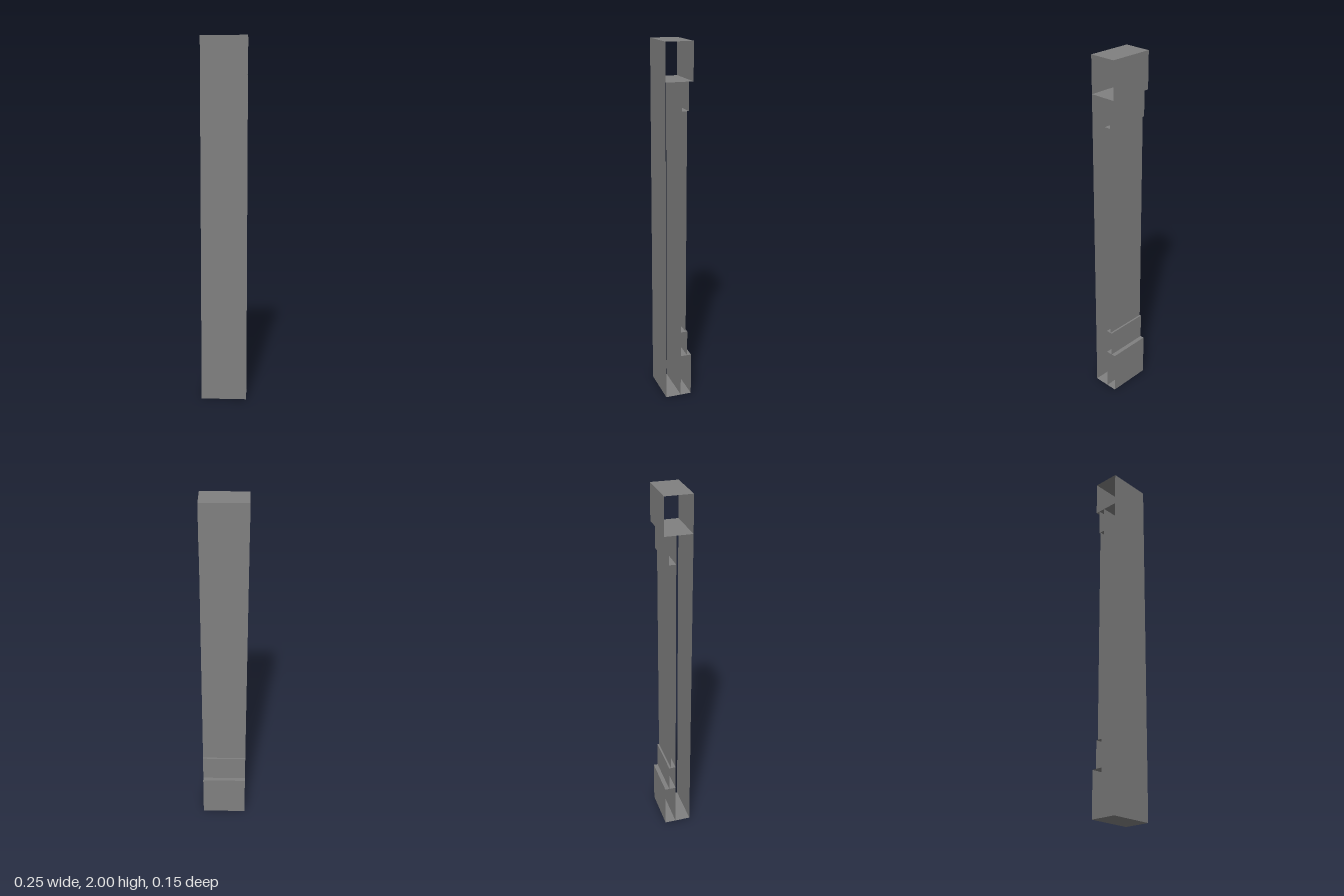
import * as THREE from 'three';

const HALF_WIDTH = 0.125;
const FRONT = 0.075, BACK = -0.075;            // overall depth
const BOARD = -0.013, SHAFT = -0.041, BAND = -0.051; // stepped back planes
const PLINTH_TOP = 0.25, LOW_BAND_TOP = 0.4, HIGH_BAND_BOTTOM = 1.65, CAP_BOTTOM = 1.8, TOP = 2;

const material = new THREE.MeshStandardMaterial({ color: 0x808080, flatShading: true, side: THREE.DoubleSide });

// Sweeps a [z, y] outline across the width, leaving both ends open.
function sweep(name, outline) {
  const positions = [];
  for (let i = 0; i < outline.length - 1; i++) {
    const [z0, y0] = outline[i], [z1, y1] = outline[i + 1];
    const a = [-HALF_WIDTH, y0, z0], b = [-HALF_WIDTH, y1, z1];
    const c = [HALF_WIDTH, y1, z1], d = [HALF_WIDTH, y0, z0];
    positions.push(...a, ...b, ...c, ...a, ...c, ...d);
  }
  const geometry = new THREE.BufferGeometry();
  geometry.setAttribute('position', new THREE.Float32BufferAttribute(positions, 3));
  geometry.computeVertexNormals();
  const mesh = new THREE.Mesh(geometry, material);
  mesh.name = name;
  return mesh;
}

export function createModel() {
  const group = new THREE.Group();
  group.name = 'pilaster';
  group.add(
    // flat front board with its foot and inner back face
    sweep('board', [[FRONT, CAP_BOTTOM], [FRONT, 0], [BOARD, 0], [BOARD, CAP_BOTTOM]]),
    // full-depth hollow block at the head
    sweep('capital', [[FRONT, TOP], [FRONT, CAP_BOTTOM], [BACK, CAP_BOTTOM], [BACK, TOP], [FRONT, TOP]]),
    // stepped trim on the back of the board
    sweep('upperBand', [[BOARD, HIGH_BAND_BOTTOM], [BAND, HIGH_BAND_BOTTOM], [BAND, CAP_BOTTOM]]),
    sweep('shaft', [[SHAFT, LOW_BAND_TOP], [SHAFT, HIGH_BAND_BOTTOM]]),
    sweep('lowerBand', [[BAND, PLINTH_TOP], [BAND, LOW_BAND_TOP], [BOARD, LOW_BAND_TOP]]),
    sweep('plinth', [[BOARD, 0], [BACK, 0], [BACK, PLINTH_TOP], [BOARD, PLINTH_TOP]]),
  );
  return group;
}
